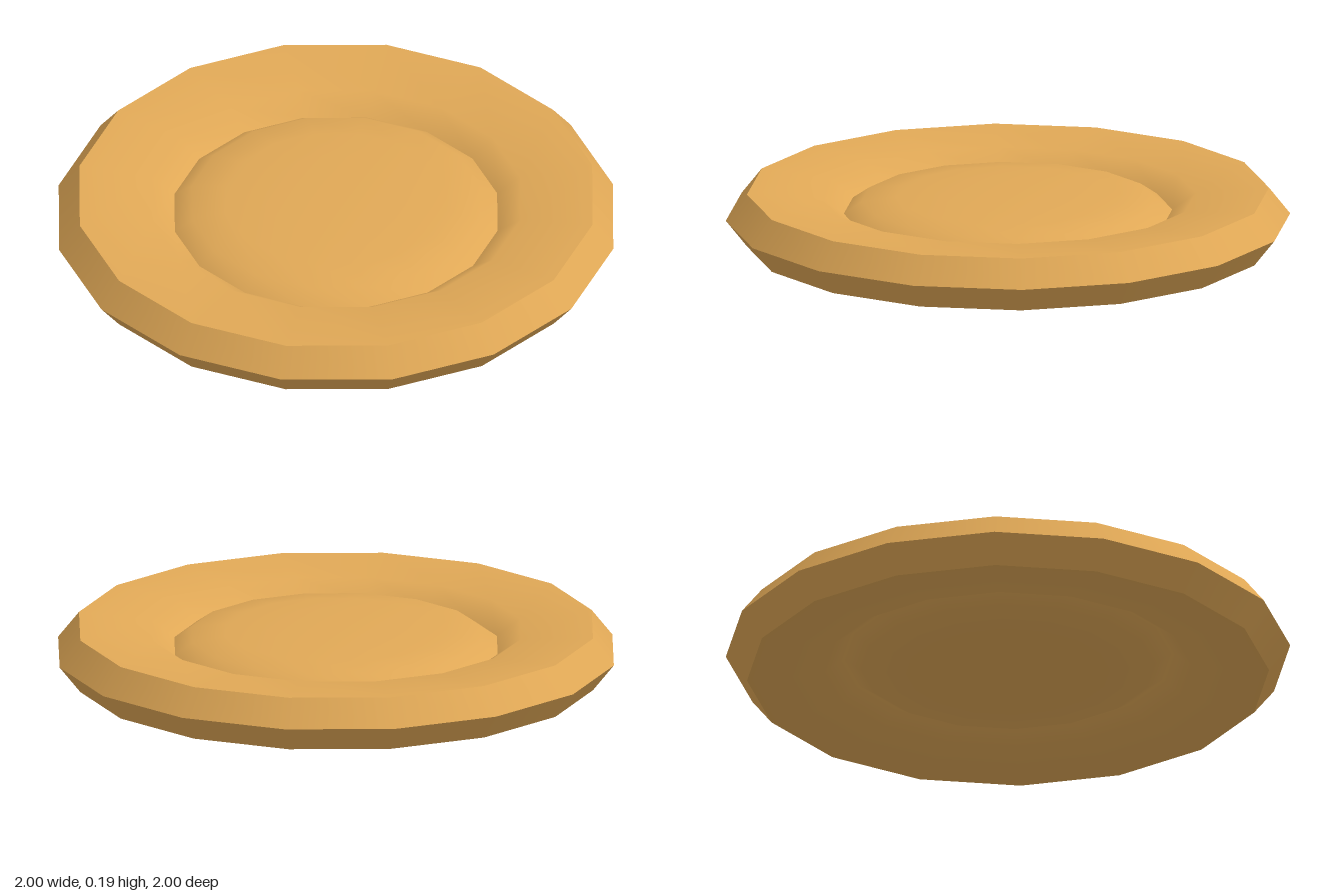
import * as THREE from 'three';

const SIDES = 16;
const HEIGHT = 0.19;

// Upper half profiles as [radius, y], running from the outer edge to the axis.
// Each band is its own smooth surface, so the joints between bands stay sharp.
const bands = {
  RimBevel: [[1, 0.095], [0.925, 0.19]],
  OuterRing: [[0.925, 0.19], [0.665, 0.174], [0.582, 0.115]],
  CentreDome: [[0.582, 0.115], [0.52, 0.158], [0.4, 0.174], [0.25, 0.183], [0.1, 0.187], [0, 0.187]],
};

export function createModel() {
  const group = new THREE.Group();
  group.name = 'disc';

  const golden = new THREE.MeshStandardMaterial({ color: 0xe0a856 });
  golden.name = 'golden tan';

  const addBand = (name, profile) => {
    const points = profile.map(([r, y]) => new THREE.Vector2(r, y));
    const mesh = new THREE.Mesh(new THREE.LatheGeometry(points, SIDES), golden);
    mesh.name = name;
    group.add(mesh);
  };

  // Both faces share the same profile; the underside is flipped and reversed.
  for (const [name, profile] of Object.entries(bands)) {
    addBand('upper' + name, profile);
    addBand('lower' + name, profile.map(([r, y]) => [r, HEIGHT - y]).reverse());
  }

  return group;
}
